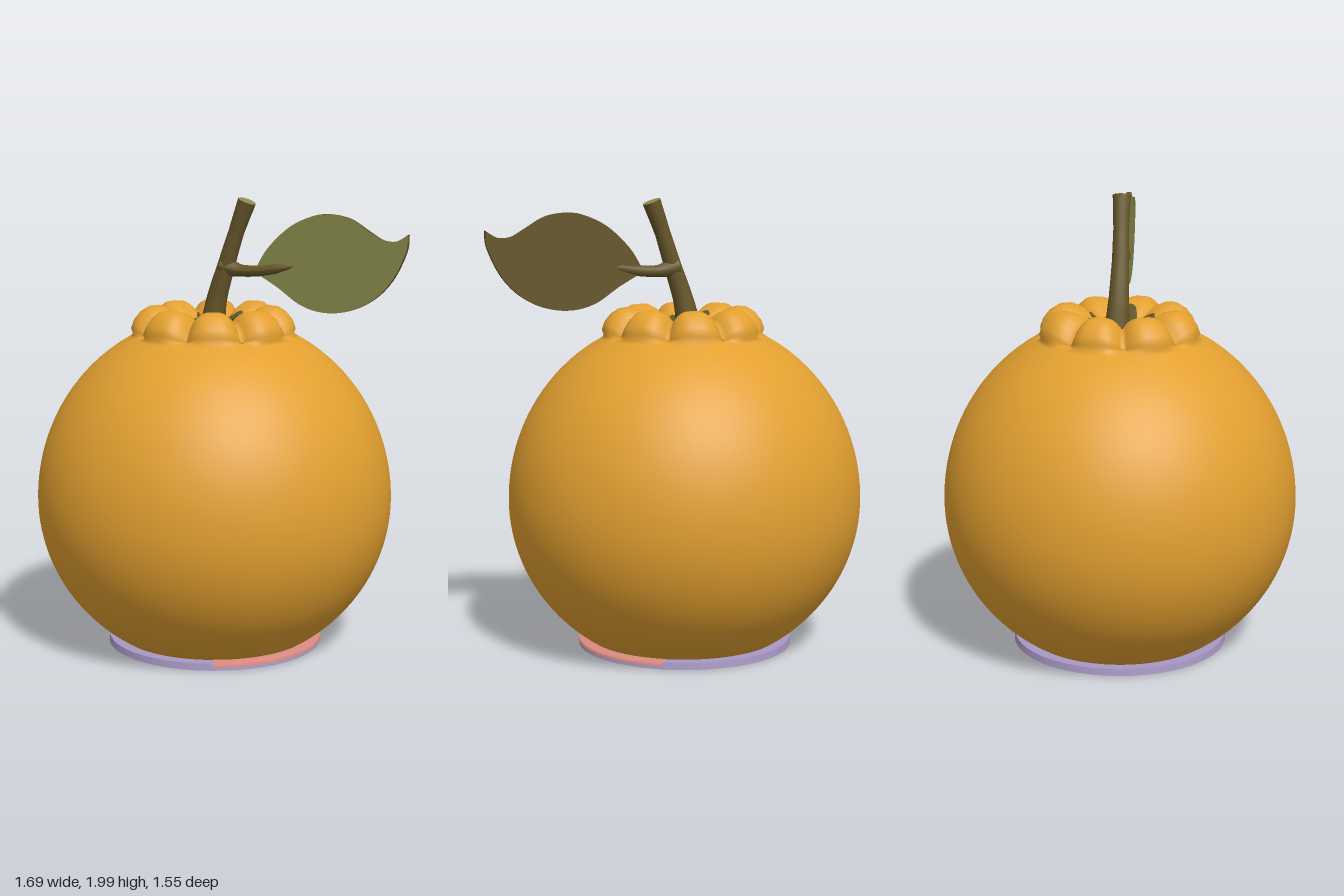
import * as THREE from 'three';
import { mergeVertices } from 'three/addons/utils/BufferGeometryUtils.js';

const CX = -0.058;      // fruit axis
const LOBES = 8;

const mat = (name, color, side = THREE.FrontSide) => {
  const m = new THREE.MeshStandardMaterial({ color, side });
  m.name = name;
  return m;
};

function add(parent, name, geometry, material) {
  const mesh = new THREE.Mesh(geometry, material);
  mesh.name = name;
  parent.add(mesh);
  return mesh;
}

// Presses creases into the crown so that it reads as a ring of lobes
function lobed(x, y, z) {
  const r = Math.hypot(x, z);
  if (y < 1.385) return [x, y, z];
  const a = Math.atan2(x, z) + 0.1;
  const crease = Math.pow(1 - Math.abs(Math.sin(a * LOBES / 2)), 1.6);
  const uneven = 0.03 * Math.sin(a * 3 + 1);
  const w = THREE.MathUtils.smoothstep(r, 0.06, 0.2);
  const k = 1 - w * (0.13 * crease + uneven * 0.7);
  return [x * k, y - 0.055 * crease * w * Math.min(1, (y - 1.385) / 0.06), z * k];
}

// Crown section from its foot over the rim and down into the hollow
const crown = [[0.352, 1.39], [0.36, 1.415], [0.348, 1.45], [0.32, 1.485], [0.285, 1.507],
  [0.245, 1.512], [0.2, 1.5], [0.16, 1.475], [0.12, 1.445], [0.07, 1.425], [0, 1.42]];

function hollowHeight(r) {
  for (let i = crown.length - 1; i > 5; i--) {
    const [r0, y0] = crown[i], [r1, y1] = crown[i - 1];
    if (r <= r1) return y0 + (y1 - y0) * (r - r0) / (r1 - r0);
  }
  return 1.51;
}

function fruitGeometry() {
  const pts = [new THREE.Vector2(0, 0.02)];
  for (let i = 0; i <= 40; i++) {
    const y = 0.02 + (1.375 - 0.02) * i / 40;
    const b = y < 0.66 ? 0.75 : 0.81;
    pts.push(new THREE.Vector2(0.785 * Math.sqrt(1 - ((y - 0.66) / b) ** 2), y));
  }
  crown.forEach(([r, y]) => pts.push(new THREE.Vector2(r, y)));
  let g = new THREE.LatheGeometry(pts, 128);
  const p = g.attributes.position;
  for (let i = 0; i < p.count; i++) p.setXYZ(i, ...lobed(p.getX(i), p.getY(i), p.getZ(i)));
  g.deleteAttribute('uv');
  g.deleteAttribute('normal');
  g = mergeVertices(g, 1e-5);
  g.computeVertexNormals();
  return g;
}

// Star-shaped calyx that follows the hollow
function calyxGeometry() {
  const g = new THREE.CircleGeometry(1, 80);
  const rings = new THREE.RingGeometry(0.001, 1, 80, 8);
  const p = rings.attributes.position;
  for (let i = 0; i < p.count; i++) {
    const x = p.getX(i), z = -p.getY(i);
    const a = Math.atan2(x, z);
    const s = 0.13 + 0.035 * Math.cos(5 * a + 0.3) + 0.012 * Math.sin(2 * a);
    const r = Math.hypot(x, z) * s;
    const q = lobed(r * Math.sin(a), hollowHeight(r), r * Math.cos(a));
    p.setXYZ(i, q[0], q[1] + 0.01, q[2]);
  }
  g.dispose();
  rings.computeVertexNormals();
  return rings;
}

// Tube whose radius runs through the given values
function taperedTube(curve, radii, rows = 24, sides = 14) {
  const g = new THREE.TubeGeometry(curve, rows, 1, sides);
  const p = g.attributes.position, v = new THREE.Vector3();
  for (let i = 0; i < p.count; i++) {
    const t = Math.floor(i / (sides + 1)) / rows;
    const f = t * (radii.length - 1), k = Math.min(Math.floor(f), radii.length - 2);
    const r = THREE.MathUtils.lerp(radii[k], radii[k + 1], f - k);
    const c = curve.getPointAt(t);
    v.fromBufferAttribute(p, i).sub(c).multiplyScalar(r).add(c);
    p.setXYZ(i, v.x, v.y, v.z);
  }
  g.computeVertexNormals();
  return g;
}

const path = (pts) => new THREE.CatmullRomCurve3(pts.map((q) => new THREE.Vector3(...q)));

function leafShape() {
  const edge = (pts) => pts.map(([x, y]) => new THREE.Vector2((x - 0.1) * 1.023, y));
  const upper = edge([[0.2, 1.77], [0.3, 1.865], [0.4, 1.915], [0.48, 1.93], [0.58, 1.915],
    [0.67, 1.865], [0.73, 1.832], [0.79, 1.83], [0.842, 1.86]]);
  const lower = edge([[0.835, 1.79], [0.78, 1.675], [0.7, 1.588], [0.59, 1.53], [0.47, 1.514],
    [0.36, 1.54], [0.25, 1.61], [0.14, 1.67]]);
  const s = new THREE.Shape();
  s.moveTo(lower[7].x, lower[7].y);
  s.splineThru(upper);
  s.splineThru(lower);
  return s;
}

export function createModel() {
  const orange = mat('orange peel', 0xe3a030);
  const bark = mat('brown bark', 0x66562a);
  const calyxBrown = mat('calyx brown', 0x66562a, THREE.DoubleSide);
  calyxBrown.color.set(0x5f5527);
  const green = mat('leaf green', 0x888c4a);
  const lilac = mat('lilac base', 0xa898c4);
  const pink = mat('pink rim', 0xd98a80, THREE.DoubleSide);

  const model = new THREE.Group();
  model.name = 'fruit';

  // Body with lobed crown
  const fruit = new THREE.Group();
  fruit.name = 'fruitBody';
  fruit.position.x = CX;
  model.add(fruit);
  add(fruit, 'peel', fruitGeometry(), orange).scale.z = 0.988;
  add(fruit, 'calyx', calyxGeometry(), calyxBrown);

  // Flat base and the pink part of its rim
  add(fruit, 'baseDisc', new THREE.CylinderGeometry(0.472, 0.476, 0.03, 48), lilac).position.y = 0.015;
  const rim = [[0.478, 0.014], [0.476, 0.032], [0.4, 0.032]].map((q) => new THREE.Vector2(...q));
  add(fruit, 'baseRim', new THREE.LatheGeometry(rim, 24, 0.3, 2), pink);

  // Stem with cut end
  const stem = path([[-0.07, 1.41, -0.015], [-0.05, 1.53, -0.005], [0.0, 1.69, 0.01],
    [0.05, 1.84, 0.02], [0.1, 1.972, 0.03]]);
  add(model, 'stem', taperedTube(stem, [0.055, 0.044, 0.038, 0.034, 0.04]), bark);
  const cut = add(model, 'stemEnd', new THREE.CircleGeometry(0.04, 14), green);
  const tangent = stem.getTangentAt(1);
  cut.position.copy(stem.getPointAt(1));
  cut.quaternion.setFromUnitVectors(new THREE.Vector3(0, 0, 1), tangent);

  // Twig that runs into the leaf as its midrib
  const twig = path([[-0.015, 1.69, 0.005], [0.06, 1.672, 0.02], [0.16, 1.675, 0.047],
    [0.25, 1.69, 0.072], [0.33, 1.703, 0.084]]);
  add(model, 'twig', taperedTube(twig, [0.045, 0.026, 0.024, 0.021, 0.004]), bark);

  // Leaf: dark underside and edge, green face
  const leaf = new THREE.Group();
  leaf.name = 'leaf';
  leaf.position.set(0.1, 0, 0.03);
  leaf.rotation.y = -0.213;
  model.add(leaf);
  const shape = leafShape();
  add(leaf, 'leafBack', new THREE.ExtrudeGeometry(shape,
    { depth: 0.016, bevelEnabled: false, curveSegments: 5 }), bark).position.z = -0.008;
  add(leaf, 'leafFace', new THREE.ShapeGeometry(shape, 5), green).position.z = 0.01;

  return model;
}
